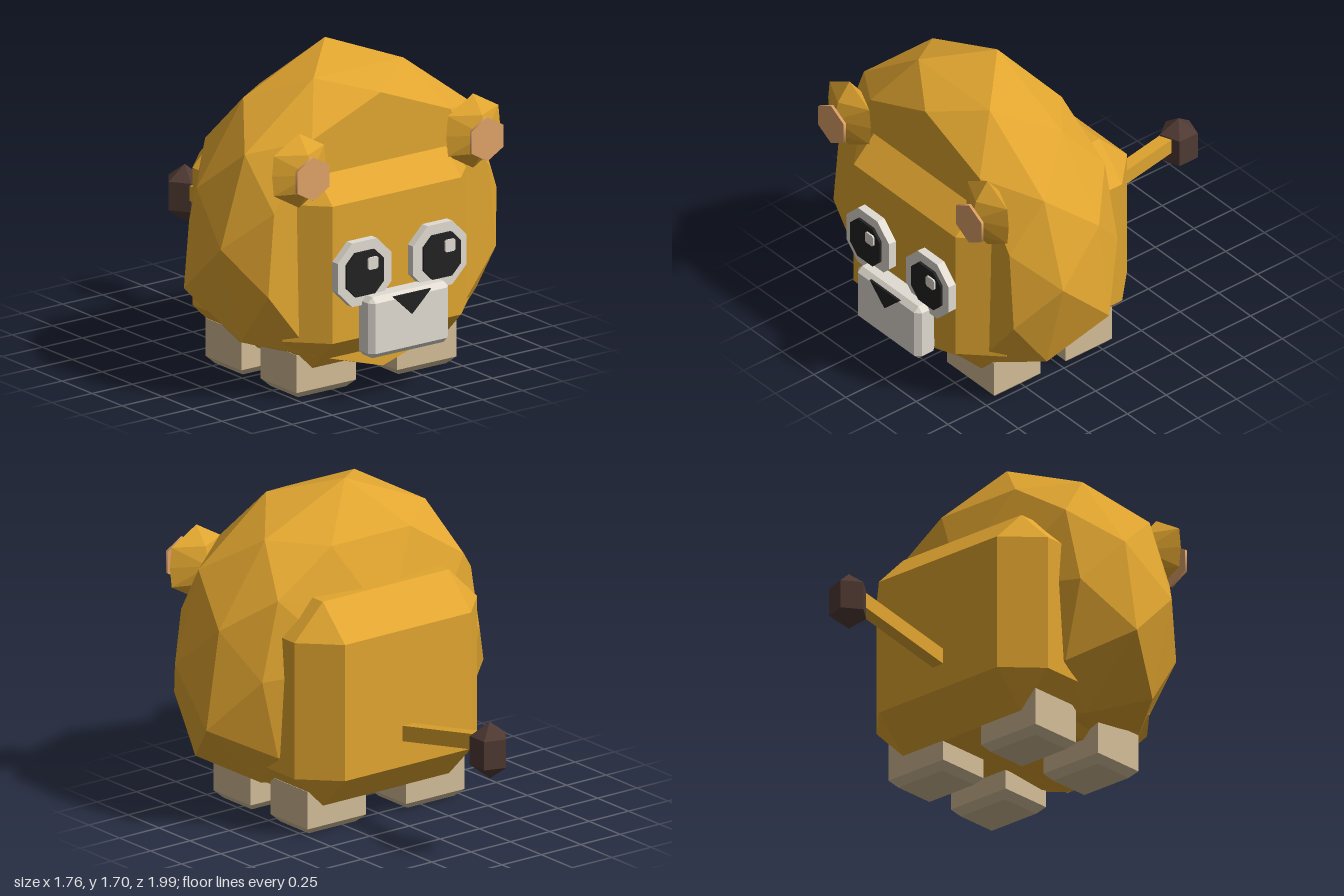
import * as THREE from 'three';
import { ConvexGeometry } from 'three/addons/geometries/ConvexGeometry.js';

const V = (x, y, z) => new THREE.Vector3(x, y, z);

function mat(name, color) {
  const m = new THREE.MeshStandardMaterial({ color });
  m.name = name;
  return m;
}

// Box with all twelve edges cut at 45 degrees
function chamferBox(w, h, d, c) {
  const pts = [];
  for (const sx of [-0.5, 0.5]) for (const sy of [-0.5, 0.5]) for (const sz of [-0.5, 0.5]) {
    const x = sx * w, y = sy * h, z = sz * d;
    const ix = x - Math.sign(sx) * c, iy = y - Math.sign(sy) * c, iz = z - Math.sign(sz) * c;
    pts.push(V(x, iy, iz), V(ix, y, iz), V(ix, iy, z));
  }
  return new ConvexGeometry(pts);
}

// Flat plate cut from an outline
function plate(outline, depth) {
  const shape = new THREE.Shape(outline.map(([x, y]) => new THREE.Vector2(x, y)));
  return new THREE.ExtrudeGeometry(shape, { depth, bevelEnabled: false });
}

// Square plate with cut corners
function octagon(half, cut, depth) {
  const a = half, b = half - cut;
  return plate([[a, -b], [a, b], [b, a], [-b, a], [-a, b], [-a, -b], [-b, -a], [b, -a]], depth);
}

// Faceted mane: mirrored half rings from front to back
function maneGeometry() {
  const pts = [];
  const ring = (z, half) => half.forEach(([x, y]) => {
    pts.push(V(x, y, z));
    if (x > 0) pts.push(V(-x, y, z));
  });
  const front = [[0, 1.53], [0.43, 1.36], [0.67, 1.02], [0.71, 0.59], [0.43, 0.23], [0, 0.1]];
  front.forEach(([x, y]) => {
    const z = 0.753 - 0.0175 * (y - 0.1) / 1.43;
    pts.push(V(x, y, z));
    if (x > 0) pts.push(V(-x, y, z));
  });
  ring(0.55, [[0.28, 1.61], [0.71, 1.29], [0.86, 0.82], [0.73, 0.31], [0.3, 0.15]]);
  ring(0.27, [[0, 1.7], [0.51, 1.48], [0.8, 1.06], [0.88, 0.55], [0.53, 0.2], [0, 0.14]]);
  ring(0.06, [[0.25, 1.45], [0.59, 1.23], [0.69, 0.82], [0.59, 0.4], [0.25, 0.24]]);
  ring(-0.1, [[0, 1.02], [0.24, 0.85], [0.15, 0.6]]);
  return new ConvexGeometry(pts);
}

// Faceted ear with pointed top and bottom
function earGeometry() {
  const pts = [];
  for (const s of [-1, 1]) {
    pts.push(V(0, s * 0.195, 0), V(s * 0.168, 0, 0), V(0, 0, s * 0.1));
    for (const t of [-1, 1]) pts.push(V(s * 0.157, t * 0.105, 0), V(0, s * 0.1, t * 0.075));
  }
  return new ConvexGeometry(pts);
}

// Foot with a bevelled sole, standing on y = 0
function footGeometry() {
  const pts = [];
  for (const sx of [-1, 1]) for (const sz of [-1, 1]) {
    pts.push(V(sx * 0.185, 0.235, sz * 0.15), V(sx * 0.185, 0.037, sz * 0.15), V(sx * 0.15, 0, sz * 0.115));
  }
  return new ConvexGeometry(pts);
}

export function createModel() {
  const root = new THREE.Group();
  root.name = 'lion';
  const gold = mat('golden fur', 0xe2a630);
  const white = mat('off white', 0xe2dcd2);
  const black = mat('black', 0x222222);
  const cream = mat('cream paw', 0xd3bd98);
  const pink = mat('inner ear tan', 0xe0a268);
  const brown = mat('dark brown', 0x503a33);

  const add = (name, geo, material, x = 0, y = 0, z = 0) => {
    const m = new THREE.Mesh(geo, material);
    m.name = name;
    m.position.set(x, y, z);
    root.add(m);
    return m;
  };

  // Body and mane
  add('body', chamferBox(1.16, 1.08, 1.11, 0.18), gold, 0, 0.68, 0.315);
  add('mane', maneGeometry(), gold);

  // Paired parts
  for (const s of [-1, 1]) {
    const side = s > 0 ? 'left' : 'right';
    add(side + 'Ear', earGeometry(), gold, s * 0.543, 1.235, 0.78);
    const inner = new THREE.CylinderGeometry(0.115, 0.115, 0.015, 6).rotateX(Math.PI / 2);
    add(side + 'InnerEar', inner.toNonIndexed(), pink, s * 0.543, 1.22, 0.893);

    add(side + 'Eye', octagon(0.167, 0.09, 0.055), white, s * 0.235, 0.675, 0.86);
    add(side + 'Pupil', octagon(0.115, 0.055, 0.018), black, s * 0.24, 0.675, 0.912);
    add(side + 'EyeGlint', octagon(0.032, 0.009, 0.009), white, s * 0.24 + 0.043, 0.723, 0.93);

    add(side + 'FrontFoot', footGeometry(), cream, s * 0.313, 0, 0.55);
    add(side + 'BackFoot', footGeometry(), cream, s * 0.313, 0, 0.088);
  }

  // Muzzle and nose
  add('muzzle', chamferBox(0.5, 0.32, 0.13, 0.028), white, 0, 0.395, 0.925);
  add('nose', plate([[-0.117, 0.545], [0, 0.435], [0.117, 0.545]], 0.012), black, 0, 0, 0.988);

  // Tail rising to the rear, with a faceted tuft
  const tail = add('tail', new THREE.BoxGeometry(0.07, 0.08, 0.66), gold, 0, 0.549, -0.52);
  tail.rotation.x = Math.atan2(0.11, 0.56);
  const tuft = new THREE.SphereGeometry(1, 5, 3).scale(0.115, 0.15, 0.115).toNonIndexed();
  tuft.computeVertexNormals();
  add('tailTuft', tuft, brown, 0, 0.58, -0.9);

  return root;
}
